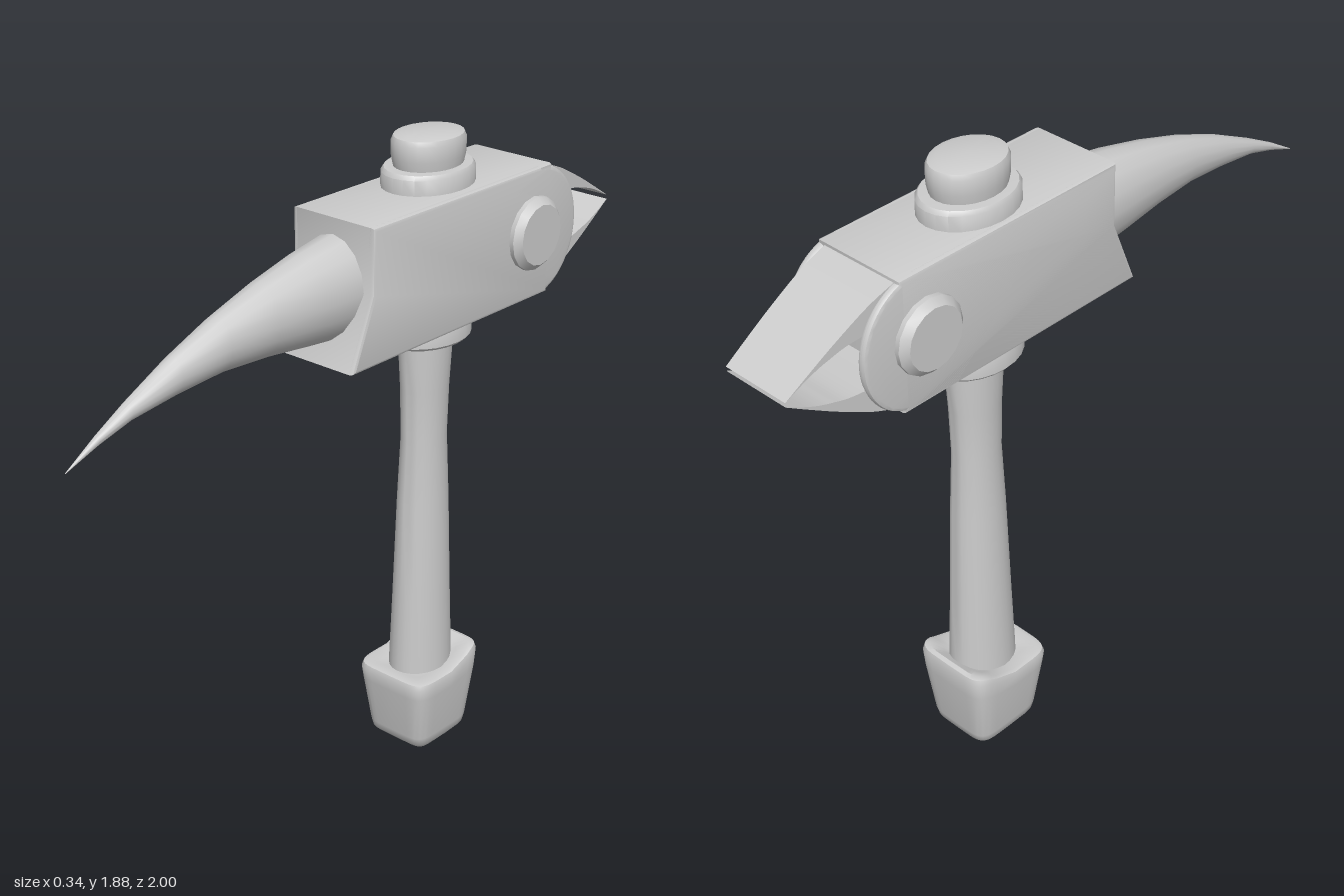
import * as THREE from 'three';
import { toCreasedNormals } from 'three/addons/utils/BufferGeometryUtils.js';

const material = new THREE.MeshStandardMaterial({ color: 0xcccccc });
const SHAFT_X = -0.01, SHAFT_Z = -0.315, MID_Y = 1.555;

function part(name, geometry, crease = 0.6) {
  const mesh = new THREE.Mesh(toCreasedNormals(geometry, crease), material);
  mesh.name = name;
  return mesh;
}

// Skin a list of rings (each counterclockwise seen from the last ring's end), closed at both ends
function loft(rings) {
  const n = rings[0].length, pos = [], idx = [];
  rings.forEach(r => r.forEach(p => pos.push(p.x, p.y, p.z)));
  for (let i = 0; i < rings.length - 1; i++) {
    for (let j = 0; j < n; j++) {
      const k = (j + 1) % n, a = i * n + j, b = i * n + k;
      idx.push(a, b, b + n, a, b + n, a + n);
    }
  }
  [rings[0], rings[rings.length - 1]].forEach((ring, end) => {
    const c = ring.reduce((s, p) => s.add(p), new THREE.Vector3()).divideScalar(n);
    const ci = pos.length / 3, base = end ? (rings.length - 1) * n : 0;
    pos.push(c.x, c.y, c.z);
    for (let j = 0; j < n; j++) {
      const a = base + j, b = base + (j + 1) % n;
      idx.push(ci, end ? a : b, end ? b : a);
    }
  });
  const g = new THREE.BufferGeometry();
  g.setAttribute('position', new THREE.Float32BufferAttribute(pos, 3));
  g.setIndex(idx);
  return g;
}

function ring(n, fn) {
  return Array.from({ length: n }, (_, i) => fn(Math.cos(i / n * 2 * Math.PI), Math.sin(i / n * 2 * Math.PI)));
}

// Oval turned part on the shaft axis: rows of [half depth, y]
function oval(name, rows, squash = 0.79) {
  const g = new THREE.LatheGeometry(rows.map(([r, y]) => new THREE.Vector2(r, y)), 24);
  g.scale(squash, 1, 1);
  g.translate(SHAFT_X, 0, SHAFT_Z);
  return part(name, g, 0.7);
}

// Side profile (u = -z, y) extruded across x from x0 to x1
function slab(shape, x0, x1, bevel = 0) {
  const g = new THREE.ExtrudeGeometry(shape, {
    depth: x1 - x0 - 2 * bevel, curveSegments: 16,
    bevelEnabled: bevel > 0, bevelSize: bevel, bevelOffset: -bevel, bevelThickness: bevel, bevelSegments: 2,
  });
  g.rotateY(Math.PI / 2);
  g.translate(x0 + bevel, 0, 0);
  return g;
}

function headShape(roundEnd) {
  const s = new THREE.Shape();
  s.moveTo(-0.155, 1.365);
  if (roundEnd) {
    s.lineTo(0.62, 1.365);
    s.absellipse(0.62, MID_Y - 0.0025, 0.17, 0.1875, -Math.PI / 2, Math.PI / 2, false);
  } else {
    s.lineTo(0.67, 1.365);
    s.lineTo(0.67, 1.74);
  }
  s.lineTo(-0.075, 1.74);
  s.lineTo(-0.075, 1.56);
  s.closePath();
  return s;
}

function beakPlate(name, flip) {
  const pt = (u, h) => new THREE.Vector2(u, MID_Y + flip * h);
  const s = new THREE.Shape();
  const start = pt(0.6, 0.17);
  s.moveTo(start.x, start.y);
  s.lineTo(0.67, MID_Y + flip * 0.177);
  s.splineThru([pt(0.75, 0.148), pt(0.85, 0.096), pt(0.93, 0.049), pt(1, 0.006)]);
  s.splineThru([pt(0.93, 0.04), pt(0.87, 0.06), pt(0.79, 0.075), pt(0.6, 0.08)]);
  s.closePath();
  const g = slab(s, -0.118, 0.118);
  // Narrow towards the tip
  const p = g.attributes.position;
  for (let i = 0; i < p.count; i++) {
    const t = Math.max(0, (-p.getZ(i) - 0.68) / 0.32);
    p.setX(i, p.getX(i) * (1 - 0.12 * t) - 0.004);
  }
  return part(name, g);
}

export function createModel() {
  const model = new THREE.Group();

  // Head block with two cheeks that enclose the beak
  const head = new THREE.Group();
  head.name = 'head';
  head.add(part('headBlock', slab(headShape(false), -0.14, 0.14, 0.01)));
  head.add(part('rightCheek', slab(headShape(true), -0.14, -0.115, 0.01)));
  head.add(part('leftCheek', slab(headShape(true), 0.115, 0.14, 0.01)));
  model.add(head);

  // Split beak at the back
  model.add(beakPlate('upperBeak', 1), beakPlate('lowerBeak', -1));

  // Pivot discs on both sides
  for (const side of [1, -1]) {
    const profile = [[0, 0.12], [0.105, 0.12], [0.105, 0.153], [0.086, 0.172], [0, 0.172]];
    const g = new THREE.LatheGeometry(profile.map(([r, y]) => new THREE.Vector2(r, y)), 16);
    g.rotateZ(-side * Math.PI / 2);
    g.translate(0, 1.56, -0.59);
    model.add(part(side > 0 ? 'leftPivot' : 'rightPivot', g));
  }

  // Curved front spike: [z, top, bottom, half width]
  const spike = [
    [0.0, 1.70, 1.415, 0.112], [0.08, 1.695, 1.415, 0.106], [0.2, 1.675, 1.426, 0.094],
    [0.35, 1.64, 1.442, 0.075], [0.5, 1.595, 1.449, 0.056], [0.65, 1.537, 1.437, 0.039],
    [0.8, 1.465, 1.417, 0.022], [0.9, 1.412, 1.387, 0.011], [1.0, 1.351, 1.349, 0.001],
  ];
  model.add(part('spike', loft(spike.map(([z, top, bottom, w]) =>
    ring(16, (c, s) => new THREE.Vector3(c * w, (top + bottom) / 2 + s * (top - bottom) / 2, z))))));

  // Collars, end cap and handle shaft
  model.add(oval('lowerCollar', [[0, 1.30], [0.136, 1.30], [0.145, 1.308], [0.145, 1.345], [0.136, 1.37], [0, 1.37]]));
  model.add(oval('upperCollar', [[0, 1.73], [0.145, 1.735], [0.145, 1.782], [0.136, 1.793], [0.1, 1.795], [0, 1.795]]));
  model.add(oval('endCap', [[0, 1.78], [0.106, 1.785], [0.114, 1.82], [0.115, 1.862], [0.108, 1.876], [0.085, 1.882], [0, 1.884]]));
  model.add(oval('shaft', [[0, 0.15], [0.108, 0.15], [0.104, 0.28], [0.095, 0.5], [0.084, 0.8],
    [0.074, 1.0], [0.078, 1.15], [0.087, 1.3], [0.087, 1.36], [0, 1.36]], 0.8));

  // Pommel with rounded corners, raised lip at the back: [y, half width, half depth, lift]
  const pommel = [
    [0, 0.06, 0.062, 0], [0.006, 0.078, 0.08, 0], [0.035, 0.103, 0.113, 0], [0.06, 0.108, 0.119, 0],
    [0.21, 0.127, 0.14, 0.02], [0.245, 0.13, 0.145, 0.04], [0.26, 0.126, 0.14, 0.042],
    [0.264, 0.115, 0.127, 0.042], [0.258, 0.08, 0.1, 0.035], [0.256, 0.04, 0.05, 0],
  ];
  const square = v => Math.sign(v) * Math.pow(Math.abs(v), 0.35);
  model.add(part('pommel', loft(pommel.map(([y, w, d, lift]) => ring(40, (c, s) => {
    const z = SHAFT_Z + 0.005 - d * square(s);
    const rise = THREE.MathUtils.smoothstep(-z, 0.32, 0.43);
    return new THREE.Vector3(SHAFT_X + w * square(c), y + lift * rise, z);
  }))), 0.8));

  return model;
}
